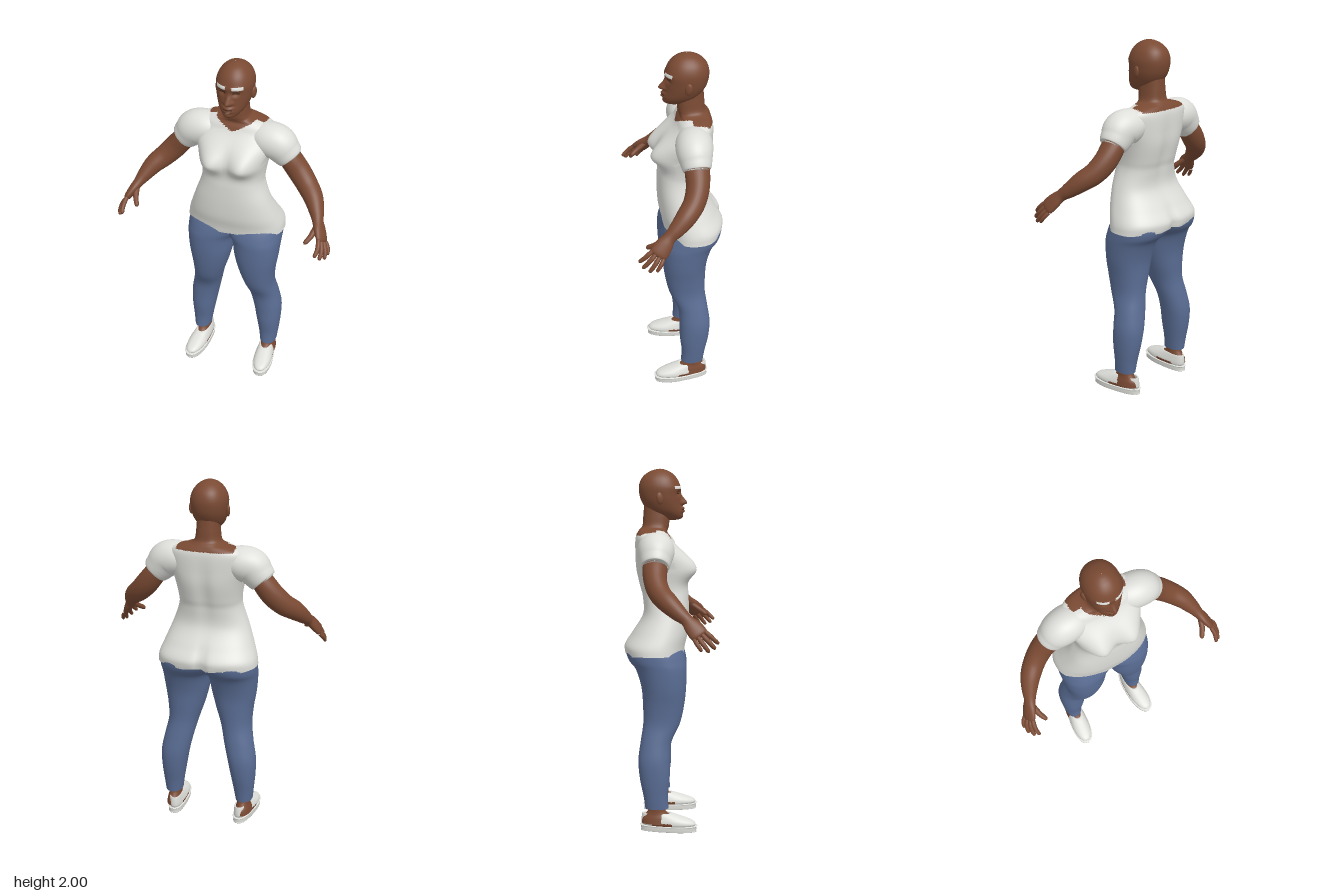
import * as THREE from 'three';

const mat = (name, color, side = THREE.FrontSide) => {
  const m = new THREE.MeshStandardMaterial({ color, side });
  m.name = name;
  return m;
};

// Catmull-Rom blend of all numbers in a list of rows
function sample(rows, t) {
  const i = Math.min(Math.floor(t), rows.length - 2), f = t - i;
  const at = k => rows[Math.max(0, Math.min(rows.length - 1, k))];
  const [a, b, c, d] = [at(i - 1), at(i), at(i + 1), at(i + 2)];
  return b.map((_, k) => b[k] + 0.5 * f * (c[k] - a[k] +
    f * (2 * a[k] - 5 * b[k] + 4 * c[k] - d[k] + f * (3 * (b[k] - c[k]) + d[k] - a[k]))));
}

// Surface through rings [x, y, z, radiusU, radiusB]; level rings stay horizontal
function loft(rows, { segs = 32, steps = 5, n = 2, level = false, deform, paint } = {}) {
  const pos = [], lists = [[], []], count = (rows.length - 1) * steps;
  const pw = v => Math.sign(v) * Math.abs(v) ** (2 / n);
  for (let j = 0; j <= count; j++) {
    const t = j / steps, r = sample(rows, t);
    const T = new THREE.Vector3(0, 1, 0), B = new THREE.Vector3(0, 0, 1);
    if (!level) {
      const p = sample(rows, Math.max(0, t - 0.1)), q = sample(rows, Math.min(rows.length - 1, t + 0.1));
      T.set(q[0] - p[0], q[1] - p[1], q[2] - p[2]).normalize();
      B.addScaledVector(T, -T.z).normalize();
    }
    const U = new THREE.Vector3().crossVectors(T, B);
    for (let i = 0; i < segs; i++) {
      const a = i / segs * Math.PI * 2;
      const v = new THREE.Vector3(r[0], r[1], r[2])
        .addScaledVector(U, Math.max(r[3], 0.0005) * pw(Math.cos(a)))
        .addScaledVector(B, Math.max(r[4], 0.0005) * pw(Math.sin(a)));
      if (deform) deform(v);
      pos.push(v.x, v.y, v.z);
    }
  }
  const mid = (k, ids) => ids.reduce((s, i) => s + pos[i * 3 + k], 0) / ids.length;
  for (let j = 0; j < count; j++) for (let i = 0; i < segs; i++) {
    const a = j * segs + i, b = j * segs + (i + 1) % segs, c = a + segs, d = b + segs;
    for (const tri of [[a, c, b], [b, c, d]]) {
      const k = paint ? paint(mid(0, tri), mid(1, tri), mid(2, tri)) : 0;
      (lists[k] ??= []).push(...tri);
    }
  }
  const g = new THREE.BufferGeometry();
  g.setAttribute('position', new THREE.Float32BufferAttribute(pos, 3));
  g.setIndex(lists.flat());
  if (paint) {
    let start = 0;
    lists.forEach((l, k) => { if (l.length) g.addGroup(start, l.length, k); start += l.length; });
  }
  g.computeVertexNormals();
  return g;
}

// [y, halfWidth, zFront, zBack] to a level ring
const ring = ([y, w, f, b]) => [0, y, (f + b) / 2, w, (f - b) / 2];
// [y, xInner, xOuter, zFront, zBack] to a level ring
const legRing = ([y, i, o, f, b]) => [(i + o) / 2, y, (f + b) / 2, (o - i) / 2, (f - b) / 2];
const bell = (d, s) => Math.exp(-((d / s) ** 2));

function mirrored(geo) {
  const g = geo.clone().scale(-1, 1, 1), ix = g.index.array;
  for (let i = 0; i < ix.length; i += 3) [ix[i], ix[i + 1]] = [ix[i + 1], ix[i]];
  g.computeVertexNormals();
  return g;
}

export function createModel() {
  const skin = mat('skin', 0x7a4a33);
  const cloth = mat('shirtWhite', 0xdededa, THREE.DoubleSide);
  const denim = mat('denimBlue', 0x5a6d94, THREE.DoubleSide);
  const dark = mat('darkBrown', 0x40261b);
  const model = new THREE.Group();
  model.name = 'standingWoman';
  const add = (name, geo, material) => {
    const m = new THREE.Mesh(geo, material);
    m.name = name;
    model.add(m);
  };
  const pair = (name, geo, material) => {
    add('left' + name, geo, material);
    add('right' + name, mirrored(geo), material);
  };

  // Shirt body running into the bare neck, with bust, spine and seat shaping
  add('torso', loft([
    [0.985, 0.283, 0.072, -0.256], [1.03, 0.276, 0.08, -0.26], [1.1, 0.25, 0.095, -0.215],
    [1.2, 0.212, 0.1, -0.158], [1.3, 0.178, 0.098, -0.162], [1.36, 0.176, 0.093, -0.178],
    [1.45, 0.192, 0.09, -0.197], [1.53, 0.215, 0.065, -0.2], [1.6, 0.212, 0.01, -0.2],
    [1.635, 0.195, -0.01, -0.195], [1.655, 0.15, -0.022, -0.185], [1.67, 0.09, -0.018, -0.175],
    [1.69, 0.07, -0.012, -0.16], [1.74, 0.063, -0.01, -0.155], [1.8, 0.058, -0.02, -0.15],
  ].map(ring), {
    segs: 80, steps: 7, n: 2.35, level: true,
    deform: v => {
      if (v.z > 0) {
        const dy = v.y - 1.45;
        v.z += 0.062 * bell(Math.abs(v.x) - 0.095, 0.075) * bell(dy, dy > 0 ? 0.08 : 0.055);
      }
      if (v.z < -0.1) {
        v.z += 0.028 * bell(v.x, 0.025) * bell(v.y - 1.0, 0.09);
        v.z += 0.015 * bell(v.x, 0.04) * bell(v.y - 1.4, 0.16);
      }
      if (v.y < 1.0) v.y += 0.004 * Math.sin(v.x * 40) - 0.004;
    },
    paint: (x, y, z) => {
      const ax = Math.abs(x);
      if (y > 1.672) return 1;
      if (z > -0.08) return y > 1.61 + 0.5 * ax && ax < 0.12 ? 1 : 0;
      return ax < 0.16 && y > 1.637 ? 1 : 0;
    },
  }), [cloth, skin]);

  // Puffed short sleeves
  pair('Sleeve', loft([
    [0.11, 1.555, -0.085, 0.08, 0.08], [0.17, 1.562, -0.08, 0.094, 0.098],
    [0.235, 1.548, -0.075, 0.1, 0.097], [0.275, 1.508, -0.077, 0.088, 0.085],
    [0.302, 1.475, -0.078, 0.076, 0.073], [0.3, 1.478, -0.078, 0.055, 0.055],
  ], { segs: 40 }), cloth);

  // Arms down to the palms
  pair('Arm', loft([
    [0.25, 1.53, -0.077, 0.05, 0.058], [0.3, 1.472, -0.08, 0.06, 0.066],
    [0.355, 1.402, -0.076, 0.064, 0.062], [0.412, 1.342, -0.05, 0.06, 0.058],
    [0.465, 1.297, -0.003, 0.053, 0.054], [0.502, 1.25, 0.05, 0.04, 0.043],
    [0.523, 1.218, 0.09, 0.029, 0.034], [0.545, 1.185, 0.122, 0.025, 0.046],
    [0.568, 1.147, 0.155, 0.018, 0.046], [0.573, 1.138, 0.163, 0.002, 0.01],
  ], { segs: 28 }), skin);

  // Four fingers and a thumb: base, tip, radius
  const digits = {
    IndexFinger: [[0.556, 1.165, 0.183], [0.555, 1.1, 0.255], 0.0125],
    MiddleFinger: [[0.565, 1.152, 0.166], [0.58, 1.076, 0.238], 0.013],
    RingFinger: [[0.574, 1.138, 0.147], [0.6, 1.062, 0.206], 0.0125],
    LittleFinger: [[0.581, 1.125, 0.128], [0.608, 1.068, 0.168], 0.011],
    Thumb: [[0.522, 1.2, 0.115], [0.484, 1.137, 0.208], 0.0155],
  };
  for (const [name, [a, b, r]] of Object.entries(digits)) {
    const rows = [[0, 0.9], [0.3, 1.05], [0.6, 0.95], [0.92, 0.75], [1, 0.02]].map(([t, k]) => [
      ...a.map((v, i) => v + (b[i] - v) * t + (i === 0 ? 0.008 * Math.sin(t * Math.PI) : 0)), r * k, r * k]);
    pair(name, loft(rows, { segs: 12, steps: 4 }), skin);
  }

  // Jeans, one leg per side, meeting at the seat
  pair('JeansLeg', loft([
    [0.13, 0.166, 0.262, -0.01, -0.14], [0.2, 0.155, 0.27, -0.014, -0.15],
    [0.3, 0.137, 0.279, -0.004, -0.17], [0.4, 0.118, 0.28, -0.003, -0.178],
    [0.5, 0.095, 0.262, 0.006, -0.166], [0.6, 0.07, 0.244, 0.052, -0.152],
    [0.7, 0.038, 0.25, 0.075, -0.154], [0.8, 0.012, 0.265, 0.086, -0.162],
    [0.9, -0.006, 0.274, 0.087, -0.192], [0.95, -0.05, 0.276, 0.082, -0.232],
    [1.0, -0.09, 0.272, 0.068, -0.248], [1.04, -0.09, 0.25, 0.05, -0.23],
  ].map(legRing), { segs: 44, n: 2.2, level: true }), denim);

  // Ankles and feet inside the shoes
  const turn = g => g.rotateY(0.1).translate(0.212, 0, 0);
  pair('Ankle', loft([
    [0, 0.045, -0.06, 0.05, 0.1], [0, 0.075, -0.065, 0.044, 0.09], [0, 0.1, -0.075, 0.037, 0.06],
    [0, 0.13, -0.077, 0.036, 0.044], [0, 0.2, -0.08, 0.038, 0.045],
  ].map(r => [0.21, ...r.slice(1)]), { segs: 24, level: true }), skin);

  // Shoes: flat sole and a low slip-on upper with side openings
  const heel = v => { v.x *= 0.87 + 0.13 * THREE.MathUtils.smoothstep(v.z, -0.12, 0.06); };
  pair('Sole', turn(loft([
    [0, 0.001, 0.02, -0.04], [0, 0.05, 0.137, -0.157], [0.006, 0.057, 0.144, -0.164],
    [0.026, 0.058, 0.146, -0.165], [0.033, 0.055, 0.142, -0.162], [0.034, 0.001, 0.02, -0.04],
  ].map(ring), { segs: 40, steps: 3, n: 2.5, level: true, deform: heel })), cloth);
  pair('ShoeUpper', turn(loft([
    [0.03, 0.05, 0.134, -0.155], [0.042, 0.056, 0.142, -0.162], [0.058, 0.055, 0.128, -0.163],
    [0.074, 0.05, 0.088, -0.162], [0.09, 0.044, 0.038, -0.16], [0.1, 0.038, 0.005, -0.157],
    [0.096, 0.033, -0.004, -0.148],
  ].map(ring), {
    segs: 48, n: 2.3, level: true, deform: heel,
    paint: (x, y, z) => Math.abs(x) > 0.03 && y < 0.05 && z < 0.02 && z > -0.1 ? 1 : 0,
  })), [cloth, skin]);

  // Head with sculpted face; brows, eye slits and mouth are coloured faces
  add('head', loft([
    [1.718, 0.004, 0.0, -0.04], [1.724, 0.03, 0.046, -0.06], [1.742, 0.052, 0.062, -0.09],
    [1.77, 0.074, 0.062, -0.128], [1.81, 0.09, 0.056, -0.158], [1.85, 0.098, 0.053, -0.174],
    [1.9, 0.1, 0.052, -0.179], [1.945, 0.085, 0.034, -0.165], [1.978, 0.057, 0.003, -0.132],
    [1.995, 0.026, -0.032, -0.092], [2.0, 0.001, -0.06, -0.062],
  ].map(ring), {
    segs: 104, steps: 8, n: 2.15, level: true,
    deform: v => {
      if (v.z < -0.02) return;
      const ax = Math.abs(v.x), dn = v.y - 1.813;
      v.z += 0.034 * bell(v.x, 0.012 + 0.008 * bell(dn, 0.015)) * bell(dn, dn > 0 ? 0.034 : 0.011);
      v.z -= 0.013 * bell(ax - 0.036, 0.02) * bell(v.y - 1.866, 0.014);
      v.z += 0.006 * bell(ax - 0.04, 0.035) * bell(v.y - 1.893, 0.012);
      v.z += 0.015 * bell(v.x, 0.026) * (bell(v.y - 1.785, 0.008) + bell(v.y - 1.768, 0.008));
      v.z += 0.006 * bell(v.x, 0.025) * bell(v.y - 1.738, 0.012);
    },
    paint: (x, y, z) => {
      const ax = Math.abs(x);
      if (z < -0.01) return 0;
      if (ax > 0.017 && ax < 0.073 && Math.abs(y - 1.898 + 0.1 * Math.max(0, ax - 0.045)) < 0.009) return 1;
      if (ax < 0.011 && Math.abs(y - 1.761) < 0.005) return 1;
      if (Math.abs(ax - 0.037) < 0.016 && Math.abs(y - 1.864) < 0.004) return 2;
      if (ax < 0.024 && Math.abs(y - 1.777) < 0.0035) return 2;
      return 0;
    },
  }), [skin, cloth, dark]);

  // Ears
  const ear = new THREE.SphereGeometry(1, 16, 12).scale(0.011, 0.033, 0.02);
  ear.rotateX(-0.15).rotateY(-0.3).translate(0.101, 1.838, -0.06);
  pair('Ear', ear, skin);

  return model;
}
